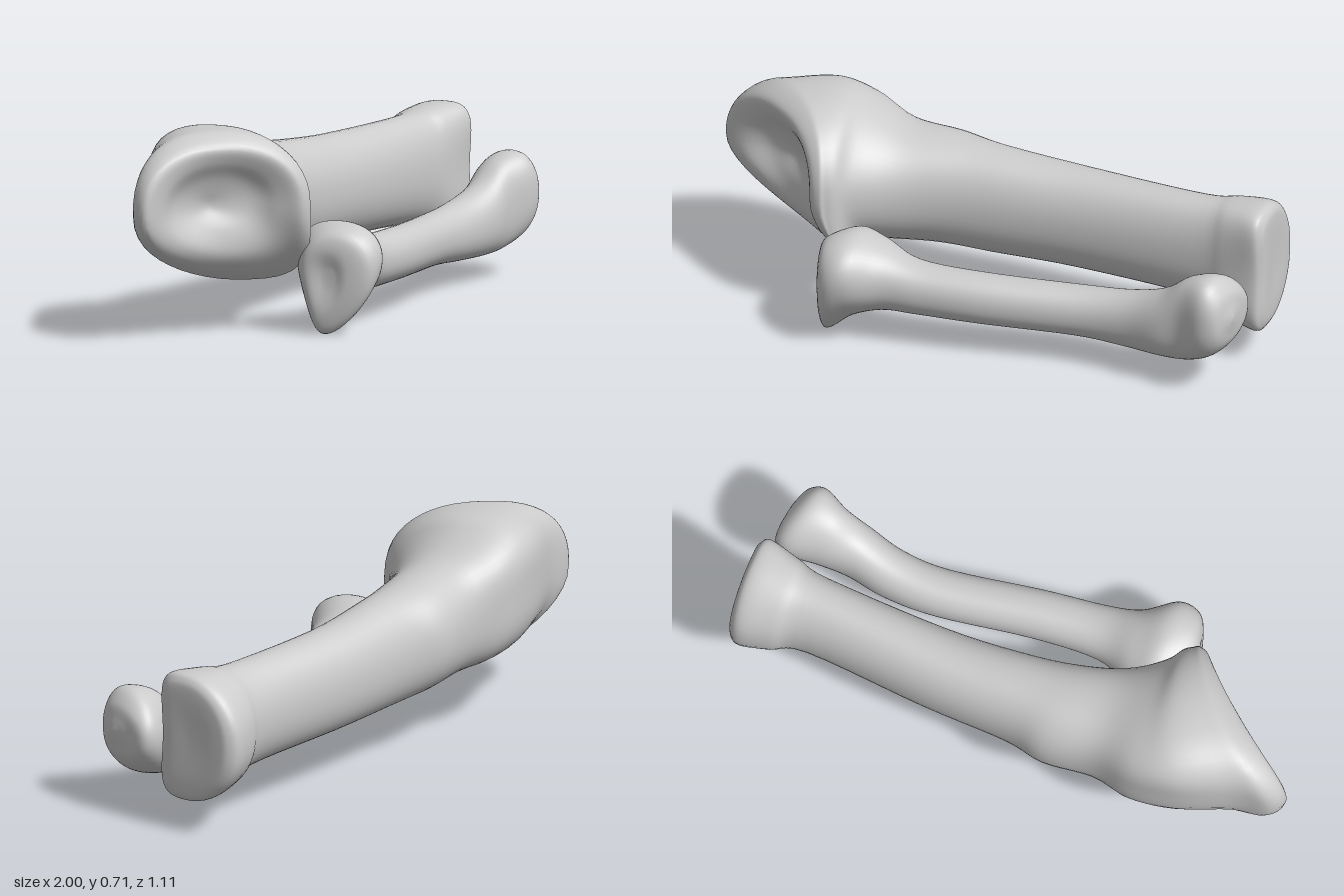
import * as THREE from 'three';

const RING = 48, STEPS = 5;
const power = (v, p) => Math.sign(v) * Math.abs(v) ** p;

// Each section: back edge x, z; front edge x, z; bottom y; top y; options:
// top, bottom: skew towards the front edge; square: corner exponent;
// taper: narrower bottom; topBack, bottomBack: setback along the bone; dent: hollow in the back
function loftBone(sections) {
  const curve = (pick) => new THREE.CatmullRomCurve3(
    sections.map((s) => new THREE.Vector3(...pick(s, s[6] ?? {}))), false, 'catmullrom', 0.5);
  const back = curve((s) => [s[0], 0, s[1]]);
  const front = curve((s) => [s[2], 0, s[3]]);
  const heights = curve((s, o) => [s[4], s[5], o.taper ?? 0]);
  const skews = curve((s, o) => [o.top ?? 0, o.bottom ?? 0, o.square ?? 0.93]);
  const hollows = curve((s, o) => [o.topBack ?? 0, o.bottomBack ?? 0, o.dent ?? 0]);
  const rows = (sections.length - 1) * STEPS;
  const positions = [], index = [];

  for (let i = 0; i <= rows; i++) {
    const t = i / rows;
    const a = back.getPoint(t), b = front.getPoint(t);
    const h = heights.getPoint(t), skew = skews.getPoint(t), hollow = hollows.getPoint(t);
    const half = b.clone().sub(a).multiplyScalar(0.5);
    const mid = a.clone().add(b).multiplyScalar(0.5);
    const along = new THREE.Vector3(-half.z, 0, half.x).normalize();
    for (let j = 0; j < RING; j++) {
      const angle = (j / RING) * Math.PI * 2;
      const s = power(Math.sin(angle), skew.z);
      let c = power(Math.cos(angle), skew.z) * (1 + h.z * s);
      c += (s > 0 ? skew.x : skew.y) * s * s + hollow.z * Math.max(0, -c) ** 6;
      const shift = -(s > 0 ? hollow.x : hollow.y) * s * s;
      positions.push(
        mid.x + half.x * c + along.x * shift,
        (h.x + h.y) / 2 + ((h.y - h.x) / 2) * s,
        mid.z + half.z * c + along.z * shift);
    }
  }
  for (let i = 0; i < rows; i++) {
    for (let j = 0; j < RING; j++) {
      const n = (j + 1) % RING;
      const p = i * RING + j, q = i * RING + n;
      index.push(p, q, p + RING, q, q + RING, p + RING);
    }
  }
  // Close both ends with a fan to the middle
  const addCap = (row, flip) => {
    const start = row * RING, centre = new THREE.Vector3();
    for (let j = 0; j < RING; j++) {
      centre.add(new THREE.Vector3().fromArray(positions, (start + j) * 3));
    }
    centre.divideScalar(RING);
    const c = positions.length / 3;
    positions.push(centre.x, centre.y, centre.z);
    for (let j = 0; j < RING; j++) {
      const p = start + j, q = start + (j + 1) % RING;
      index.push(c, flip ? q : p, flip ? p : q);
    }
  };
  addCap(0, true);
  addCap(rows, false);

  const geometry = new THREE.BufferGeometry();
  geometry.setAttribute('position', new THREE.Float32BufferAttribute(positions, 3));
  geometry.setIndex(index);
  geometry.computeVertexNormals();
  return geometry;
}

export function createModel() {
  const model = new THREE.Group();
  model.name = 'bonePair';
  const material = new THREE.MeshStandardMaterial({ color: 0xcccccc });
  const addBone = (name, sections) => {
    const mesh = new THREE.Mesh(loftBone(sections), material);
    mesh.name = name;
    model.add(mesh);
  };

  // Thick bone: D-shaped far end, long shaft, flared head with a hollow socket
  const endShape = { top: 0.42, bottom: 0.42, square: 0.78 };
  addBone('largeBone', [
    [0.905, -0.43, 0.92, -0.38, 0.29, 0.36],
    [0.885, -0.5, 0.945, -0.31, 0.17, 0.49, endShape],
    [0.865, -0.54, 0.945, -0.275, 0.115, 0.535, endShape],
    [0.82, -0.553, 0.92, -0.25, 0.1, 0.553, endShape],
    [0.73, -0.5, 0.82, -0.225, 0.12, 0.545, { top: 0.25, bottom: 0.25, square: 0.85 }],
    [0.62, -0.43, 0.7, -0.205, 0.16, 0.53, { top: 0.1, bottom: 0.1 }],
    [0.2, -0.33, 0.28, -0.085, 0.175, 0.535],
    [-0.1, -0.25, 0, 0.02, 0.18, 0.56],
    [-0.25, -0.235, -0.17, 0.105, 0.19, 0.58],
    [-0.42, -0.175, -0.29, 0.195, 0.195, 0.6, { top: -0.1, dent: 0.05 }],
    [-0.58, -0.17, -0.37, 0.29, 0.2, 0.655, { top: -0.2, bottomBack: 0.04, dent: 0.1 }],
    [-0.74, -0.1, -0.395, 0.35, 0.18, 0.695,
      { top: -0.2, bottom: 0.2, square: 0.87, topBack: 0.03, bottomBack: 0.07, dent: 0.1 }],
    [-0.89, 0.035, -0.415, 0.375, 0.17, 0.7,
      { top: -0.12, bottom: 0.35, square: 0.84, topBack: 0.04, bottomBack: 0.11, dent: 0.06 }],
    [-0.98, 0.1, -0.43, 0.39, 0.18, 0.69,
      { top: -0.05, bottom: 0.4, square: 0.85, topBack: 0.05, bottomBack: 0.13 }],
    [-0.995, 0.17, -0.47, 0.385, 0.22, 0.65,
      { bottom: 0.4, square: 0.87, topBack: 0.04, bottomBack: 0.12 }],
    [-0.92, 0.18, -0.51, 0.325, 0.28, 0.6, { bottom: 0.35, topBack: 0.02, bottomBack: 0.05 }],
    [-0.82, 0.155, -0.56, 0.25, 0.36, 0.54, { bottom: 0.2 }],
    [-0.71, 0.165, -0.67, 0.18, 0.43, 0.46],
  ]);

  // Thin bone: slim shaft between two knobs
  addBone('smallBone', [
    [-0.39, 0.41, -0.37, 0.45, 0.16, 0.22],
    [-0.425, 0.37, -0.355, 0.495, 0.06, 0.29, { bottom: -0.2, taper: 0.25 }],
    [-0.415, 0.33, -0.3, 0.545, -0.005, 0.345, { bottom: -0.3, square: 1, taper: 0.3 }],
    [-0.34, 0.24, -0.225, 0.525, 0.06, 0.37, { bottom: -0.2, taper: 0.2 }],
    [-0.26, 0.21, -0.14, 0.435, 0.1, 0.335],
    [-0.12, 0.215, -0.03, 0.375, 0.105, 0.29],
    [0.1, 0.135, 0.17, 0.285, 0.1, 0.275],
    [0.4, -0.01, 0.46, 0.14, 0.09, 0.265],
    [0.58, -0.07, 0.62, 0.09, 0.08, 0.28],
    [0.72, -0.095, 0.75, 0.075, 0.08, 0.325],
    [0.82, -0.14, 0.84, 0.055, 0.09, 0.395, { top: 0.15, bottom: 0.2 }],
    [0.91, -0.19, 0.93, 0.06, 0.125, 0.418, { top: 0.25, bottom: 0.2 }],
    [0.965, -0.18, 0.98, 0.035, 0.175, 0.375, { top: 0.2, bottom: 0.15 }],
    [0.985, -0.11, 0.995, -0.01, 0.23, 0.325],
    [0.995, -0.07, 1, -0.05, 0.27, 0.29],
  ].reverse());

  return model;
}
